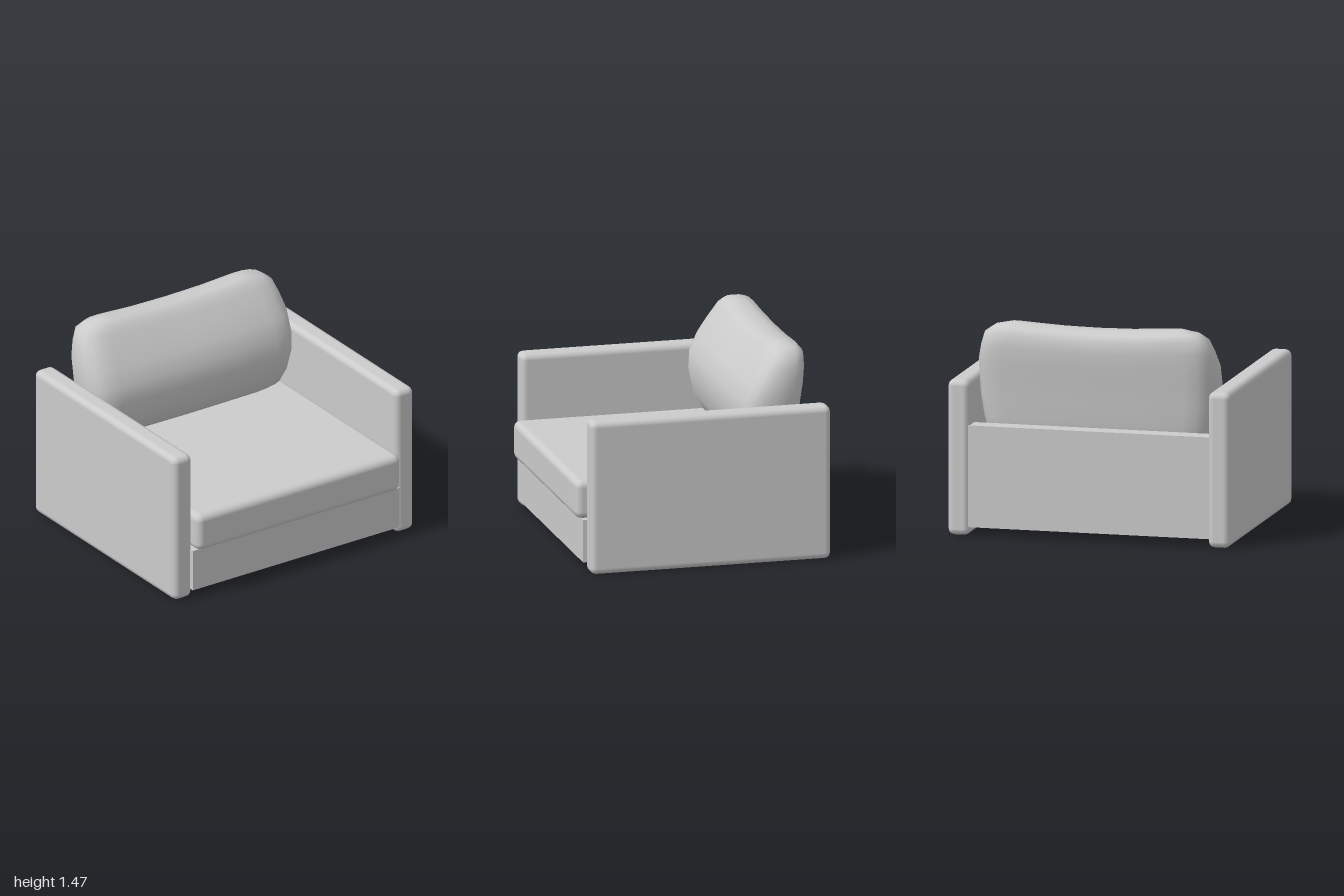
import * as THREE from 'three';
import { RoundedBoxGeometry } from 'three/addons/geometries/RoundedBoxGeometry.js';

const material = new THREE.MeshStandardMaterial({ color: 0xcccccc });

// Place a geometry, sized by its limits, as a named part
function addBlock(group, name, [x0, x1], [y0, y1], [z0, z1], radius = 0) {
  const size = [x1 - x0, y1 - y0, z1 - z0];
  const geometry = radius
    ? new RoundedBoxGeometry(...size, 2, radius)
    : new THREE.BoxGeometry(...size);
  const mesh = new THREE.Mesh(geometry, material);
  mesh.name = name;
  mesh.position.set((x0 + x1) / 2, (y0 + y1) / 2, (z0 + z1) / 2);
  group.add(mesh);
}

// Plump leaning cushion, lofted from horizontal rounded sections
function pillowGeometry() {
  // height, half width, back z, front z
  const rows = [
    [0.63, 0.66, -0.66, -0.50],
    [0.645, 0.73, -0.69, -0.45],
    [0.69, 0.78, -0.715, -0.39],
    [0.80, 0.81, -0.735, -0.33],
    [0.95, 0.835, -0.75, -0.30],
    [1.08, 0.84, -0.765, -0.31],
    [1.20, 0.84, -0.78, -0.37],
    [1.31, 0.815, -0.79, -0.44],
    [1.40, 0.785, -0.785, -0.505],
    [1.445, 0.72, -0.75, -0.545],
    [1.47, 0.60, -0.68, -0.59],
  ];
  // Quarter section from the side to the middle of the front
  const quarter = [[1, 0], [0.995, 0.4], [0.95, 0.7], [0.88, 0.86], [0.77, 0.94], [0.4, 0.975], [0, 1]];
  const half = [...quarter, ...quarter.slice(0, -1).reverse().map(([x, z]) => [-x, z])];
  const section = [...half, ...half.slice(1, -1).reverse().map(([x, z]) => [x, -z])];
  const n = section.length;
  const points = [];
  const index = [];
  // The top edge sags towards the middle
  const sag = (x, y) => 0.028 * Math.max(0, 1 - (x / 0.6) ** 2) * THREE.MathUtils.smoothstep(y, 1.0, 1.44);
  for (const [y, w, back, front] of rows) {
    for (const [sx, sz] of section) {
      const x = sx * w;
      points.push(x, y - sag(x, y), (front + back) / 2 + sz * (front - back) / 2);
    }
  }
  for (let r = 0; r < rows.length - 1; r++) {
    for (let i = 0; i < n; i++) {
      const a = r * n + i, b = r * n + (i + 1) % n;
      index.push(a, a + n, b, b, a + n, b + n);
    }
  }
  // Close bottom and top with strips between front and back
  const top = (rows.length - 1) * n;
  for (let i = 0; i < n / 2; i++) {
    const j = (n - i) % n, k = n - i - 1;
    index.push(i, i + 1, k, i, k, j);
    index.push(top + i, top + k, top + i + 1, top + i, top + j, top + k);
  }
  const geometry = new THREE.BufferGeometry();
  geometry.setAttribute('position', new THREE.Float32BufferAttribute(points, 3));
  geometry.setIndex(index);
  geometry.computeVertexNormals();
  return geometry;
}

export function createModel() {
  const chair = new THREE.Group();
  chair.name = 'armchair';

  // Slab arms that reach the floor
  addBlock(chair, 'leftArm', [0.845, 1], [0, 1.085], [-0.885, 0.82], 0.045);
  addBlock(chair, 'rightArm', [-1, -0.845], [0, 1.085], [-0.885, 0.82], 0.045);

  // Frame between the arms
  addBlock(chair, 'base', [-0.86, 0.86], [0.06, 0.36], [-0.74, 0.84]);
  addBlock(chair, 'backPanel', [-0.86, 0.86], [0.06, 0.77], [-0.87, -0.74]);

  // Cushions
  addBlock(chair, 'seatCushion', [-0.847, 0.847], [0.36, 0.632], [-0.74, 0.885], 0.05);
  const pillow = new THREE.Mesh(pillowGeometry(), material);
  pillow.name = 'backCushion';
  chair.add(pillow);

  return chair;
}
